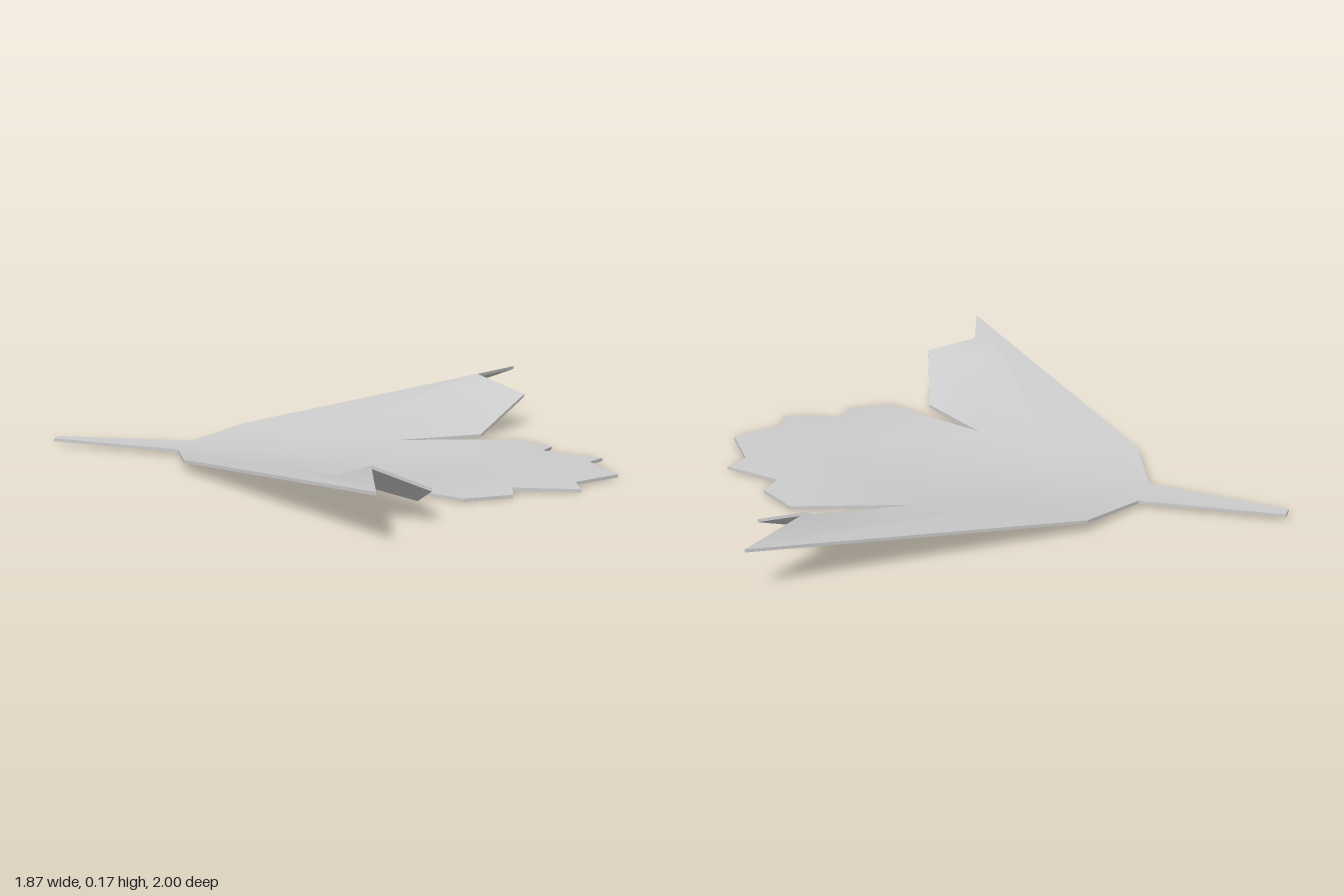
import * as THREE from 'three';

const THICKNESS = 0.01;

// Half of the leaf (z >= 0): underside points as [x, y, z]
const points = {
  stemEnd: [-0.935, 0.01, 0], stemCorner: [-0.935, 0.01, 0.02],
  neck: [-0.48, 0.01, 0.068], neckMid: [-0.48, 0.01, 0],
  shoulder: [-0.38, 0.03, 0.29], wingTip: [0.42, 0.145, 1],
  wingNotch: [0.34, 0.157, 0.745], wingPoint: [0.51, 0.098, 0.725],
  wingHeel: [0.41, 0.002, 0.467], cleft: [0.17, 0.003, 0.3],
  bladeSide: [0.54, 0, 0.43], bladeTooth: [0.67, 0, 0.345],
  bladeNotch: [0.655, 0.003, 0.268], endTooth: [0.855, 0, 0.22],
  endNotch: [0.825, 0.003, 0.145], bladeTip: [0.935, 0.002, 0],
  foldStart: [-0.14, 0.008, 0.2], foldEnd: [0.23, 0.114, 0.72],
  bodyMid: [-0.14, 0.006, 0], cleftMid: [0.17, 0.003, 0], bladeMid: [0.655, 0.003, 0],
};
const names = Object.keys(points);

// Panels between the fold, the midrib and the edge
const panels = [
  'stemEnd stemCorner neck neckMid',
  'neckMid neck shoulder foldStart bodyMid',
  'shoulder wingTip foldEnd foldStart',
  'foldEnd wingTip wingNotch',
  'foldStart foldEnd wingNotch wingPoint wingHeel cleft',
  'bodyMid foldStart cleft cleftMid',
  'cleftMid cleft bladeSide bladeTooth bladeNotch bladeMid',
  'bladeMid bladeNotch endTooth endNotch bladeTip',
].map((s) => s.split(' '));

const edge = ('stemEnd stemCorner neck shoulder wingTip wingNotch wingPoint wingHeel cleft ' +
  'bladeSide bladeTooth bladeNotch endTooth endNotch bladeTip').split(' ');

// One smooth sheet covering both halves, facing up or down
function sheetGeometry(lift, up) {
  const positions = [];
  for (const side of [1, -1]) {
    for (const n of names) {
      const [x, y, z] = points[n];
      positions.push(x, y + lift, z * side);
    }
  }
  const mirrored = (i) => (points[names[i]][2] === 0 ? i : i + names.length);
  const index = [];
  for (const panel of panels) {
    const flat = panel.map((n) => new THREE.Vector2(points[n][0], points[n][2]));
    for (const tri of THREE.ShapeUtils.triangulateShape(flat, [])) {
      const [a, b, c] = tri.map((i) => flat[i]);
      const facesUp = (b.y - a.y) * (c.x - a.x) - (b.x - a.x) * (c.y - a.y) > 0;
      let ids = tri.map((i) => names.indexOf(panel[i]));
      if (facesUp !== up) ids = ids.reverse();
      index.push(...ids, ...ids.map(mirrored).reverse());
    }
  }
  const geometry = new THREE.BufferGeometry();
  geometry.setAttribute('position', new THREE.Float32BufferAttribute(positions, 3));
  geometry.setIndex(index);
  geometry.computeVertexNormals();
  return geometry;
}

// Thin wall along the outline
function rimGeometry() {
  const positions = [];
  for (const side of [1, -1]) {
    for (let i = 0; i < edge.length - 1; i++) {
      const corner = (n, lift) => {
        const [x, y, z] = points[n];
        return [x, y + lift, z * side];
      };
      const a = corner(edge[i], 0), b = corner(edge[i + 1], 0);
      const c = corner(edge[i + 1], THICKNESS), d = corner(edge[i], THICKNESS);
      const quad = side > 0 ? [a, b, c, a, c, d] : [a, c, b, a, d, c];
      positions.push(...quad.flat());
    }
  }
  const geometry = new THREE.BufferGeometry();
  geometry.setAttribute('position', new THREE.Float32BufferAttribute(positions, 3));
  geometry.computeVertexNormals();
  return geometry;
}

export function createModel() {
  const leaf = new THREE.Group();
  leaf.name = 'leaf';
  const material = new THREE.MeshStandardMaterial({ color: 0xcccccc });
  const add = (name, geometry) => {
    const mesh = new THREE.Mesh(geometry, material);
    mesh.name = name;
    leaf.add(mesh);
  };
  add('upperSurface', sheetGeometry(THICKNESS, true));
  add('underside', sheetGeometry(0, false));
  add('rim', rimGeometry());
  return leaf;
}
